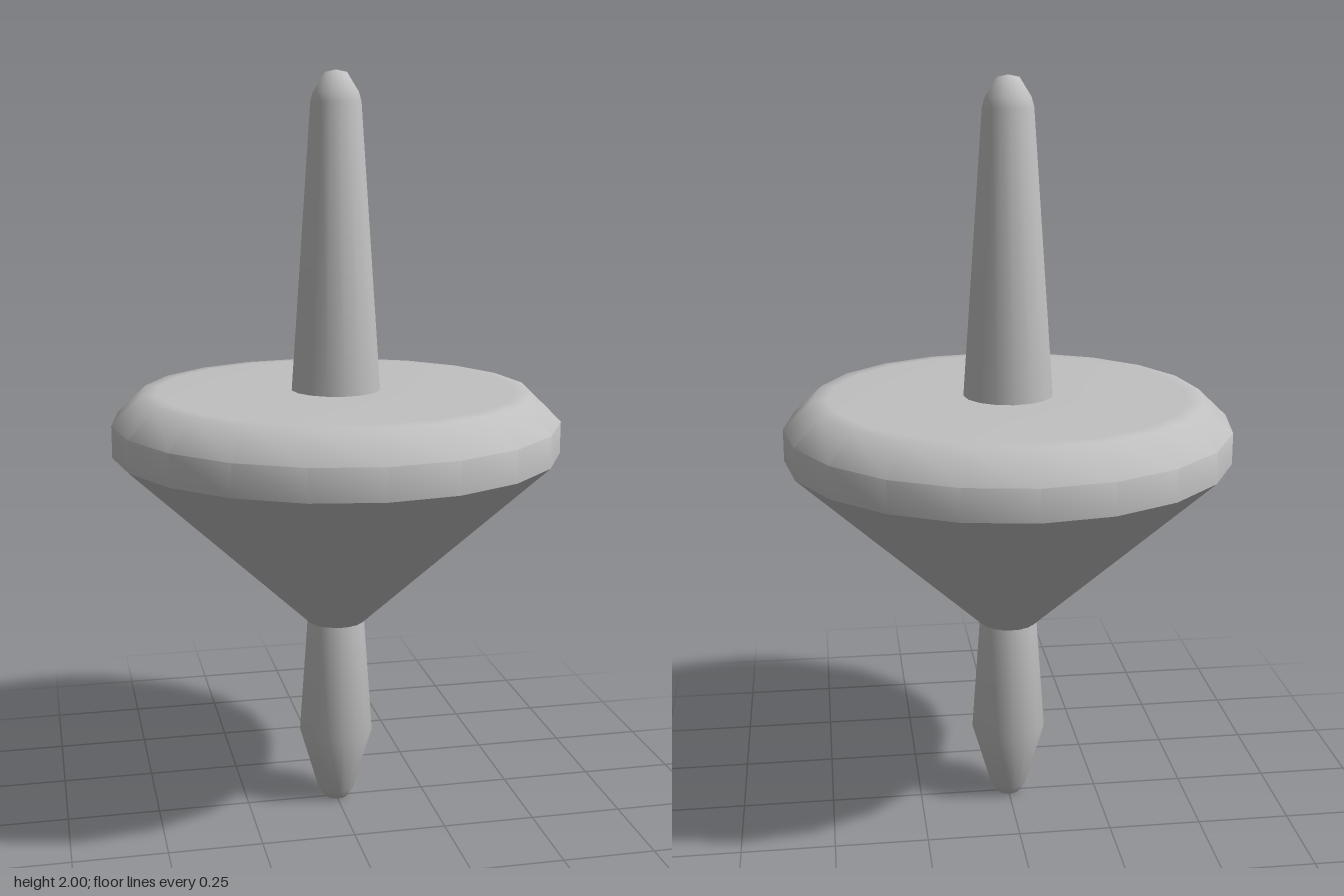
import * as THREE from 'three';
import { toCreasedNormals } from 'three/addons/utils/BufferGeometryUtils.js';

export function createModel() {
  const top = new THREE.Group();
  top.name = 'spinningTop';
  const grey = new THREE.MeshStandardMaterial({ color: 0xc0c0c0 });
  grey.name = 'plain grey';

  // Turned part from a [radius, height] profile listed bottom to top
  function turned(name, profile, sides, crease) {
    const points = profile.map(([r, y]) => new THREE.Vector2(r, y));
    const mesh = new THREE.Mesh(toCreasedNormals(new THREE.LatheGeometry(points, sides), crease), grey);
    mesh.name = name;
    top.add(mesh);
  }

  // Lower spindle with its swollen waist and blunt tip
  turned('spindleTip', [
    [0, 0], [0.032, 0.003], [0.05, 0.03], [0.102, 0.21], [0.079, 0.53],
  ], 16, 0.9);

  // Conical body with a straight rim, chamfer and flat top
  turned('discBody', [
    [0.078, 0.525], [0.598, 1.01], [0.598, 1.095], [0.52, 1.17], [0.48, 1.172], [0.115, 1.172],
  ], 20, 0.8);

  // Tapered handle with a rounded end
  turned('handle', [
    [0.12, 1.17], [0.067, 1.92], [0.06, 1.945], [0.029, 1.994], [0, 2],
  ], 16, 0.9);

  return top;
}
